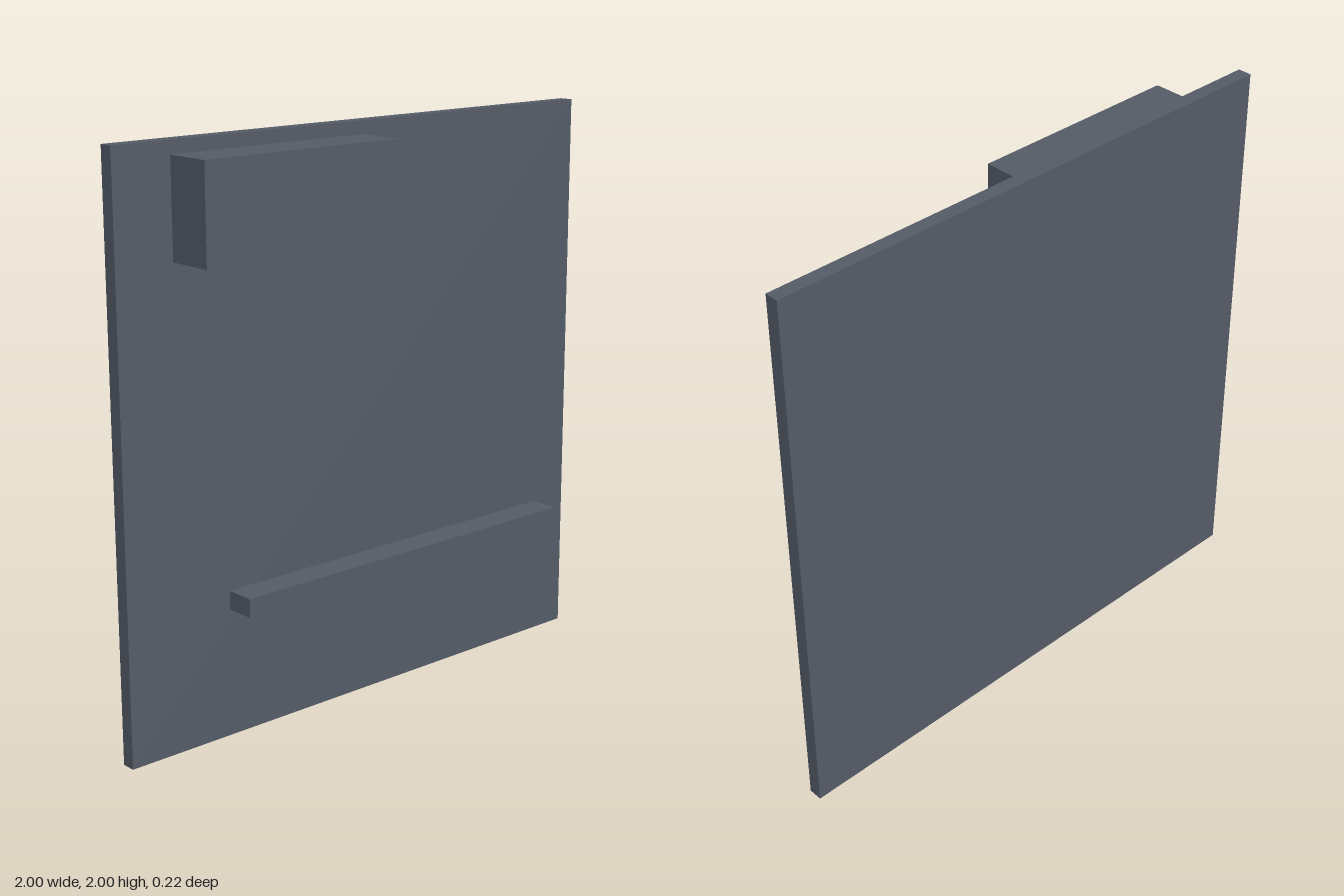
import * as THREE from 'three';

export function createModel() {
  const model = new THREE.Group();
  model.name = 'wallPanel';
  const slate = new THREE.MeshStandardMaterial({ color: 0x555b66 });
  slate.name = 'slate grey';

  // Box between two opposite corners
  const addBox = (name, [x0, y0, z0], [x1, y1, z1]) => {
    const mesh = new THREE.Mesh(new THREE.BoxGeometry(x1 - x0, y1 - y0, z1 - z0), slate);
    mesh.position.set((x0 + x1) / 2, (y0 + y1) / 2, (z0 + z1) / 2);
    mesh.name = name;
    model.add(mesh);
  };

  const back = -0.11, face = -0.06;
  // Upright square panel
  addBox('panel', [-1, 0, back], [1, 2, face]);
  // Deep block near the top
  addBox('upperBlock', [-0.785, 1.625, face], [-0.005, 1.955, 0.11]);
  // Long narrow ledge near the bottom
  addBox('lowerLedge', [-0.595, 0.445, face], [0.85, 0.51, 0.045]);

  return model;
}
